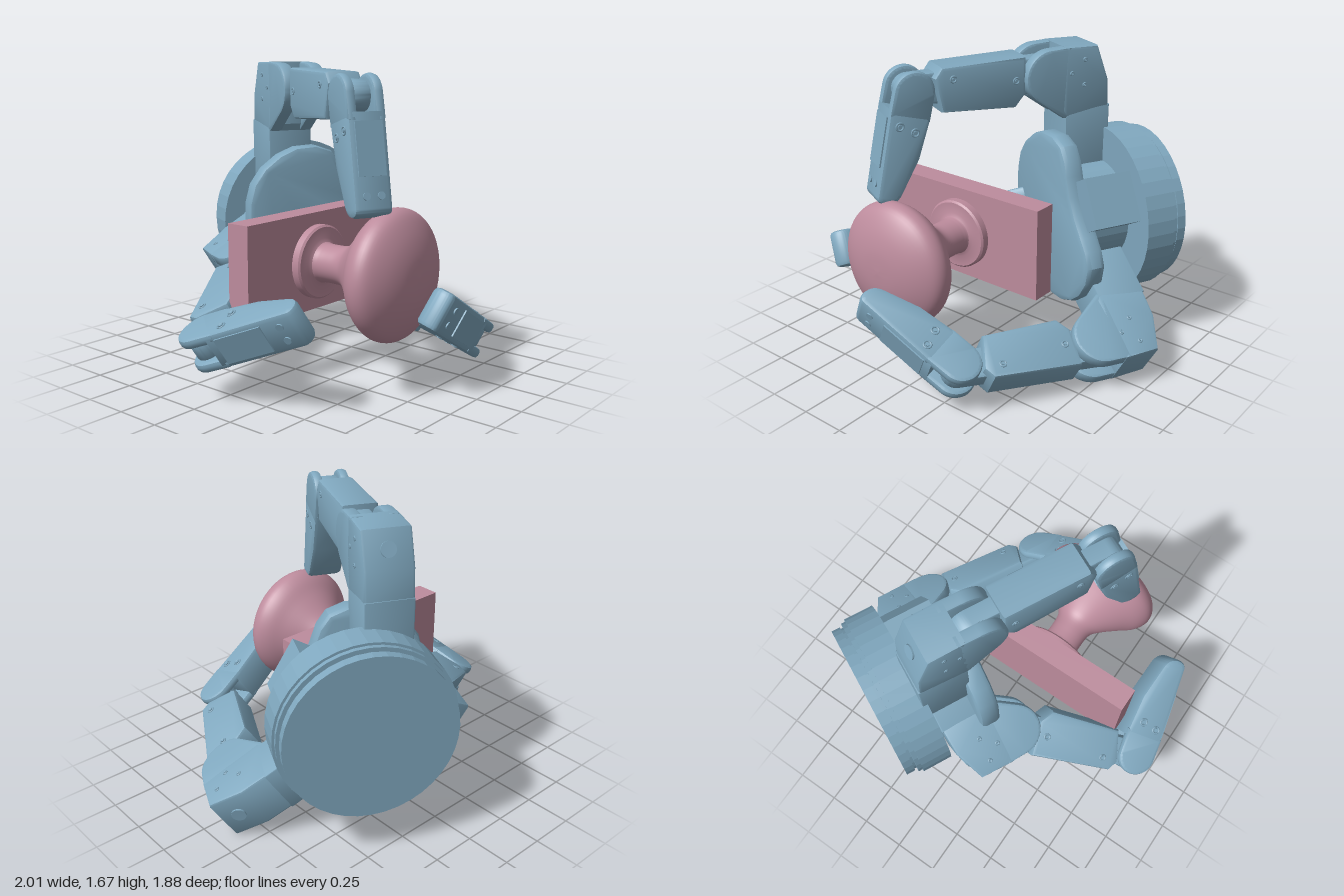
import * as THREE from 'three';
import { toCreasedNormals } from 'three/addons/utils/BufferGeometryUtils.js';

const blue = new THREE.MeshStandardMaterial({ color: 0x80a8bf });
const pink = new THREE.MeshStandardMaterial({ color: 0xbd8c9d });
const rad = THREE.MathUtils.degToRad;

function add(parent, name, geometry, material = blue) {
  const mesh = new THREE.Mesh(geometry, material);
  mesh.name = name;
  parent.add(mesh);
  return mesh;
}

function group(parent, name) {
  const g = new THREE.Group();
  g.name = name;
  parent.add(g);
  return g;
}

const polygon = (pts) => new THREE.Shape(pts.map(([a, b]) => new THREE.Vector2(a, b)));

// Bevelled extrusion running from z = 0 to z = depth, keeping the drawn outline
function slab(shape, depth, bevel) {
  const geo = new THREE.ExtrudeGeometry(shape, {
    depth: depth - 2 * bevel, bevelThickness: bevel, bevelSize: bevel,
    bevelOffset: -bevel, bevelSegments: 2, curveSegments: 14,
  });
  geo.translate(0, 0, bevel);
  return toCreasedNormals(geo, 0.6);
}

// Side profile (forward, outward) extruded across the finger, centred at x
function sideProfile(shape, width, bevel, x = 0) {
  return slab(shape, width, bevel).translate(0, 0, -width / 2).rotateY(-Math.PI / 2).translate(x, 0, 0);
}

// Screw heads on both sides of a link
function screws(parent, halfWidth, spots, r = 0.018) {
  for (const [z, y] of spots) for (const s of [-1, 1]) {
    const ring = new THREE.TorusGeometry(r, 0.005, 6, 16).rotateY(Math.PI / 2);
    add(parent, 'screwRim', ring).position.set(s * halfWidth, y, z);
    const head = new THREE.CylinderGeometry(r * 0.55, r * 0.55, 0.012, 6).rotateZ(Math.PI / 2);
    add(parent, 'screwHead', head).position.set(s * halfWidth, y, z);
  }
}

function knuckle(parent) {
  const g = group(parent, 'knuckle');
  const block = polygon([[-0.28, 0.15], [-0.08, 0.155], [-0.06, -0.2], [-0.09, -0.24],
    [-0.36, -0.2], [-0.35, -0.04]]);
  add(g, 'knuckleBlock', sideProfile(block, 0.26, 0.015));
  const column = polygon([[-0.365, -0.19], [-0.09, -0.19], [-0.09, -0.62], [-0.365, -0.62]]);
  add(g, 'knuckleColumn', sideProfile(column, 0.26, 0.008));
  const cheek = new THREE.Shape();
  cheek.moveTo(-0.12, 0.155);
  cheek.lineTo(0, 0.15);
  cheek.absarc(0, 0, 0.15, Math.PI / 2, rad(-55), true);
  cheek.lineTo(-0.08, -0.24);
  cheek.lineTo(-0.12, -0.24);
  for (const s of [-1, 1]) add(g, 'knuckleCheek', sideProfile(cheek, 0.075, 0.015, s * 0.0925));
  screws(g, 0.13, [[-0.2, 0.08], [-0.2, -0.06], [-0.12, 0.01]], 0.009);
  // Bolt in the chamfered outer corner
  const bolt = add(g, 'cornerBolt', new THREE.CylinderGeometry(0.04, 0.04, 0.02, 20));
  bolt.position.set(0, 0.055, -0.314);
  bolt.rotation.x = rad(-70);
}

function middleLink(parent) {
  const g = group(parent, 'middleLink');
  const tongue = new THREE.Shape();
  tongue.absarc(0, 0, 0.1, Math.PI / 2, -Math.PI / 2, false);
  tongue.lineTo(0.77, -0.08);
  tongue.absarc(0.77, 0, 0.08, -Math.PI / 2, Math.PI / 2, false);
  add(g, 'linkTongue', sideProfile(tongue, 0.1, 0.01));
  const body = polygon([[0.14, 0.125], [0.62, 0.115], [0.66, 0.06], [0.62, -0.125],
    [0.2, -0.15], [0.14, -0.08]]);
  add(g, 'linkBody', sideProfile(body, 0.2, 0.02));
  screws(g, 0.1, [[0.2, 0.0], [0.56, 0.05]], 0.016);
  return g;
}

function fingertip(parent) {
  const g = group(parent, 'fingertip');
  const shell = new THREE.Shape();
  shell.moveTo(0.1, -0.12);
  shell.lineTo(0.34, -0.108);
  shell.lineTo(0.55, -0.055);
  shell.quadraticCurveTo(0.605, -0.035, 0.61, 0.02);
  shell.quadraticCurveTo(0.61, 0.075, 0.57, 0.08);
  shell.lineTo(0.1, 0.11);
  add(g, 'fingertipShell', sideProfile(shell, 0.21, 0.025));
  // Fork around the last joint
  const cheek = new THREE.Shape();
  cheek.moveTo(0.14, 0.108);
  cheek.lineTo(0, 0.112);
  cheek.absarc(0, 0, 0.112, Math.PI / 2, Math.PI * 1.5, false);
  cheek.lineTo(0.14, -0.118);
  for (const s of [-1, 1]) add(g, 'fingertipCheek', sideProfile(cheek, 0.055, 0.018, s * 0.0775));
  // Cover plate and nail screws on the outer side
  const cover = add(g, 'coverPlate', new THREE.BoxGeometry(0.15, 0.012, 0.27));
  cover.position.set(0, 0.1, 0.28);
  cover.rotation.x = rad(3.5);
  for (const s of [-1, 1]) {
    const nail = add(g, 'tipScrew', new THREE.CylinderGeometry(0.02, 0.02, 0.02, 12));
    nail.position.set(s * 0.04, 0.08, 0.51);
  }
  screws(g, 0.105, [[0.18, 0.045], [0.2, -0.045]], 0.02);
  return g;
}

// angle: direction on the palm; lift: outward tilt of the middle link; curl: tip bend
function finger(parent, name, position, angle, lift, curl) {
  const g = group(parent, name);
  g.position.set(...position);
  g.rotation.z = rad(angle - 90);
  knuckle(g);
  const link = middleLink(g);
  link.rotation.x = rad(-lift);
  const tip = fingertip(link);
  tip.position.z = 0.77;
  tip.rotation.x = rad(curl);
}

function palm(parent) {
  const disc = (name, r, from, to) => add(parent, name,
    toCreasedNormals(new THREE.CylinderGeometry(r, r, to - from, 40), 0.1)
      .rotateX(Math.PI / 2).translate(0, 0, (from + to) / 2));
  disc('baseRim', 0.45, 0, 0.05);
  disc('baseGroove', 0.44, 0.05, 0.065);
  disc('baseCollar', 0.465, 0.065, 0.09);
  disc('baseDisc', 0.478, 0.09, 0.26);
  disc('palmCore', 0.28, 0.26, 0.5);

  const g = group(parent, 'palm');
  g.rotation.z = rad(30);
  const half = [[0.285, 0.17], [0.3, 0.25], [0.29, 0.34], [0.22, 0.42], [0.11, 0.475],
    [0, 0.49], [-0.12, 0.475], [-0.22, 0.43], [-0.3, 0.35], [-0.42, 0.15]];
  const outline = [...half, ...half.map(([a, b]) => [a, -b]).reverse(), [0.265, -0.06], [0.265, 0.06]];
  add(g, 'palmPlate', slab(polygon(outline), 0.12, 0.03)).position.z = 0.48;
  add(g, 'motorHousing', new THREE.BoxGeometry(0.33, 0.28, 0.3)).position.set(0.22, 0, 0.39);
}

export function createModel() {
  const model = new THREE.Group();
  model.name = 'gripperHoldingKnob';

  // Gripper, turned about the upright axis to face the knob
  const gripper = group(model, 'gripper');
  gripper.position.set(0.48, 0.715, -0.75);
  gripper.rotation.y = -0.455;
  palm(gripper);
  finger(gripper, 'upperFinger', [-0.15, 0.8, 0.595], 90, 0, 75);
  finger(gripper, 'lowerFinger', [0.575, -0.525, 0.635], -33, -5, 52);
  finger(gripper, 'thumb', [-0.46, -0.16, 0.637], 211, 41, 83);

  // Door panel and turned knob
  const door = group(model, 'door');
  add(door, 'doorPanel', new THREE.BoxGeometry(1.06, 0.53, 0.135), pink).position.set(-0.18, 0.62, 0.03);
  const rose = [[0, 0.09], [0.19, 0.09], [0.2, 0.1], [0.2, 0.14], [0.19, 0.15], [0.13, 0.15], [0.11, 0.16]];
  const bulb = new THREE.SplineCurve([[0.105, 0.17], [0.103, 0.24], [0.11, 0.32], [0.15, 0.38], [0.24, 0.47],
    [0.315, 0.54], [0.345, 0.605], [0.32, 0.67], [0.23, 0.725], [0.12, 0.757], [0, 0.766]]
    .map(([a, b]) => new THREE.Vector2(a, b))).getPoints(48);
  bulb[bulb.length - 1].x = 0;
  const profile = [...rose.map(([a, b]) => new THREE.Vector2(a, b)), ...bulb];
  const knob = toCreasedNormals(new THREE.LatheGeometry(profile, 56), 0.6).rotateX(Math.PI / 2);
  add(door, 'knob', knob, pink).position.set(-0.185, 0.62, 0);
  return model;
}
